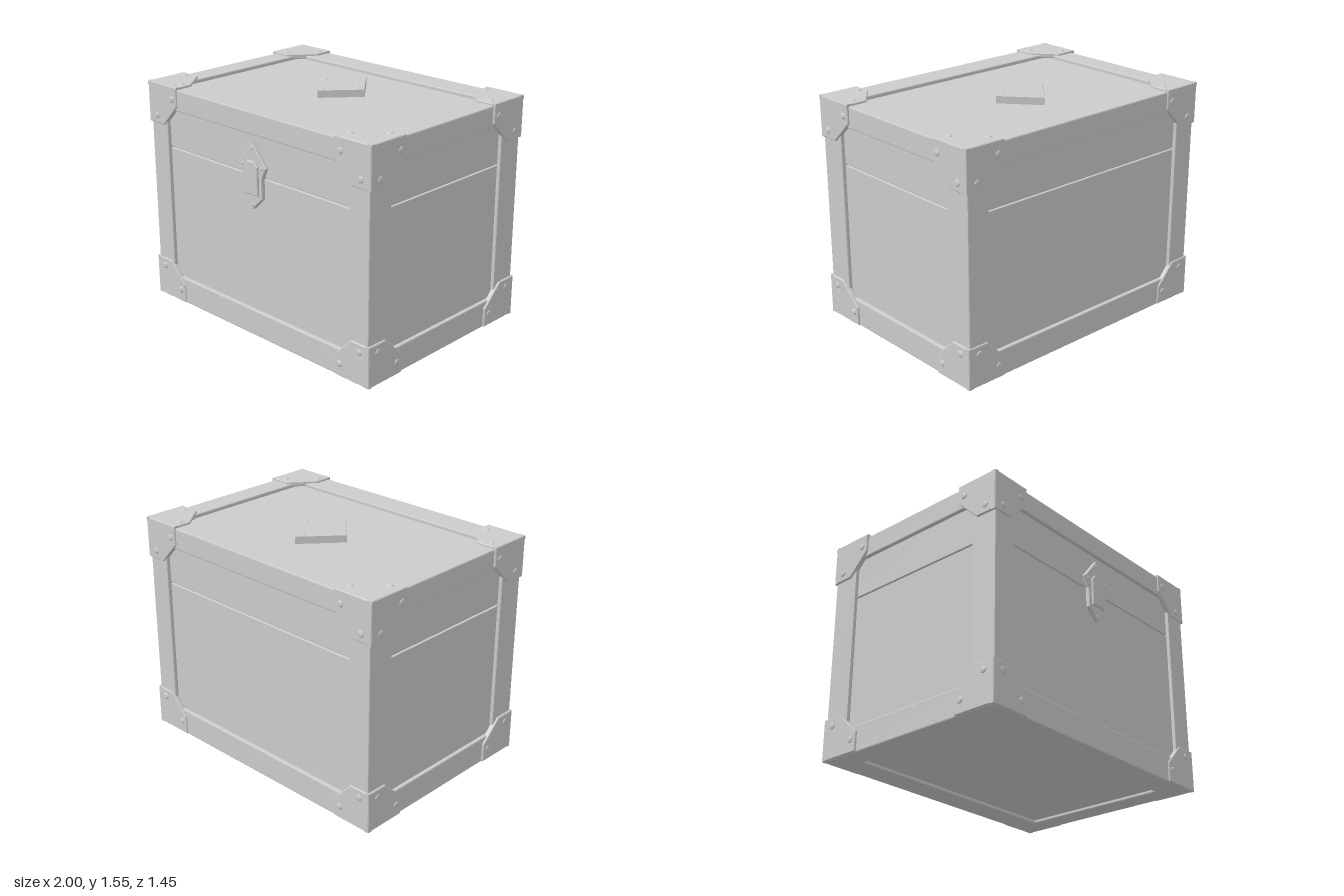
import * as THREE from 'three';
import { RoundedBoxGeometry } from 'three/addons/geometries/RoundedBoxGeometry.js';

const material = new THREE.MeshStandardMaterial({ color: 0xcccccc, flatShading: true });

// Outer limits of the wooden frame and of the metal corners
const FX = 0.98, FY = 1.515, FZ = 0.707;
const CX = 0.994, CY = 1.53, CZ = 0.716;

function add(parent, name, geometry) {
  const mesh = new THREE.Mesh(geometry, material);
  mesh.name = name;
  parent.add(mesh);
  return mesh;
}

// Box given by its minimum and maximum corners, with softly worn edges
function block(parent, name, min, max, radius = 0.008) {
  const size = max.map((m, i) => m - min[i]);
  const mesh = add(parent, name, new RoundedBoxGeometry(...size, 1, radius));
  mesh.position.set(...max.map((m, i) => (m + min[i]) / 2));
  return mesh;
}

// Flat plate with bevelled edges, its front at z = 0
function plateGeometry(points, depth, bevel = 0.005) {
  const shape = new THREE.Shape(points.map(([x, y]) => new THREE.Vector2(x, y)));
  const geometry = new THREE.ExtrudeGeometry(shape, {
    depth: depth - bevel, bevelEnabled: true, bevelSize: bevel,
    bevelThickness: bevel, bevelOffset: -bevel, bevelSegments: 1,
  });
  return geometry.translate(0, 0, -depth);
}

// Low dome whose flat side lies on z = 0
function rivetGeometry(x, y, radius = 0.023, height = 0.008) {
  return new THREE.SphereGeometry(radius, 8, 3, 0, Math.PI * 2, 0, Math.PI / 2)
    .scale(1, height / radius, 1).rotateX(Math.PI / 2).translate(x, y, 0);
}

// Apply a transform; mirrored ones get their faces turned back outwards
function place(geometry, matrix) {
  const g = geometry.index ? geometry.toNonIndexed() : geometry;
  g.applyMatrix4(matrix);
  if (matrix.determinant() < 0) {
    const order = [];
    for (let i = 0; i < g.attributes.position.count; i += 3) order.push(i, i + 2, i + 1);
    g.setIndex(order);
  }
  return g;
}

function createFrame() {
  const frame = new THREE.Group();
  frame.name = 'frame';
  const ix = 0.82, iz = 0.52, low = [0, 0.18], high = [1.37, FY];
  const span = (s, a, b) => (s > 0 ? [a, b] : [-b, -a]);
  for (const [y0, y1] of [low, high]) {
    for (const s of [-1, 1]) {
      const [z0, z1] = span(s, iz, FZ), [x0, x1] = span(s, ix, FX);
      block(frame, 'longRail', [-FX, y0, z0], [FX, y1, z1]);
      block(frame, 'sideRail', [x0, y0, -iz - 0.02], [x1, y1, iz + 0.02]);
    }
  }
  for (const sx of [-1, 1]) for (const sz of [-1, 1]) {
    const [x0, x1] = span(sx, ix, FX), [z0, z1] = span(sz, iz, FZ);
    block(frame, 'cornerPost', [x0, 0.1, z0], [x1, 1.42, z1]);
  }
  return frame;
}

function createCorner(sx, top, sz) {
  const corner = new THREE.Group();
  corner.name = top ? 'upperCorner' : 'lowerCorner';
  const sy = top ? 1 : -1;
  const origin = new THREE.Vector3(sx * CX, top ? CY : 0.003, sz * CZ);
  const X = [-sx, 0, 0], Y = [0, -sy, 0], Z = [0, 0, -sz];
  // Each face: two directions along the plate, outward normal, plate size
  const faces = [[X, Y, [0, 0, sz], 0.285, 0.275], [Z, Y, [sx, 0, 0], 0.3, 0.275]];
  if (top) faces.push([X, Z, [0, 1, 0], 0.285, 0.3]);
  for (const [u, v, n, w, h] of faces) {
    const matrix = new THREE.Matrix4()
      .makeBasis(...[u, v, n].map((a) => new THREE.Vector3(...a)))
      .setPosition(origin);
    const outline = [[0, 0], [w, 0], [w, 0.13], [0.15, h], [0, h]];
    add(corner, 'cornerPlate', place(plateGeometry(outline, 0.03), matrix));
    for (const [a, b] of [[0.08, h - 0.055], [w - 0.045, 0.085]]) {
      add(corner, 'cornerRivet', place(rivetGeometry(a, b), matrix));
    }
  }
  return corner;
}

function createLatch() {
  const latch = new THREE.Group();
  latch.name = 'latch';
  const mirrored = (half) => [...half, ...half.map(([x, y]) => [-x, y]).reverse()
    .filter(([x]) => x !== 0)];
  const hasp = mirrored([[0, 0.885], [0.085, 0.965], [0.085, 1.1], [0.122, 1.175], [0, 1.325]]);
  const clasp = mirrored([[0.03, 0.985], [0.06, 0.985], [0.06, 1.175], [0.03, 1.205]]);
  add(latch, 'haspPlate', plateGeometry(hasp, 0.05)).position.z = 0.708;
  add(latch, 'clasp', plateGeometry(clasp, 0.03)).position.z = 0.722;
  for (const [x, y] of [[0, 1.285], [-0.085, 1.17], [0.085, 1.17], [0, 0.915]]) {
    add(latch, 'latchRivet', rivetGeometry(x, y, 0.013, 0.006)).position.z = 0.708;
  }
  return latch;
}

function createLidPlate() {
  const group = new THREE.Group();
  group.name = 'lidPlate';
  const diamond = [[0.01, -0.14], [0.21, 0.085], [0.01, 0.32], [-0.205, 0.075]];
  add(group, 'diamondPlate', plateGeometry(diamond, 0.08, 0.003));
  for (const [x, y] of [[0, 0.255], [-0.14, 0.08], [0.15, 0.08], [0.01, -0.1]]) {
    add(group, 'diamondRivet', rivetGeometry(x, y, 0.016, 0.005));
  }
  group.rotation.x = -Math.PI / 2;
  group.position.y = 1.541;
  return group;
}

export function createModel() {
  const chest = new THREE.Group();
  chest.name = 'chest';

  // Recessed panels, parted by the thin seam under the lid
  block(chest, 'bodyPanels', [-0.955, 0.02, -0.682], [0.955, 1.097, 0.682], 0.004);
  block(chest, 'lidPanels', [-0.955, 1.107, -0.682], [0.955, 1.49, 0.682], 0.004);
  block(chest, 'seamCore', [-0.94, 1.05, -0.667], [0.94, 1.15, 0.667], 0.004);

  chest.add(createFrame(), createLatch(), createLidPlate());
  for (const sx of [-1, 1]) for (const sz of [-1, 1]) for (const top of [true, false]) {
    chest.add(createCorner(sx, top, sz));
  }
  return chest;
}
